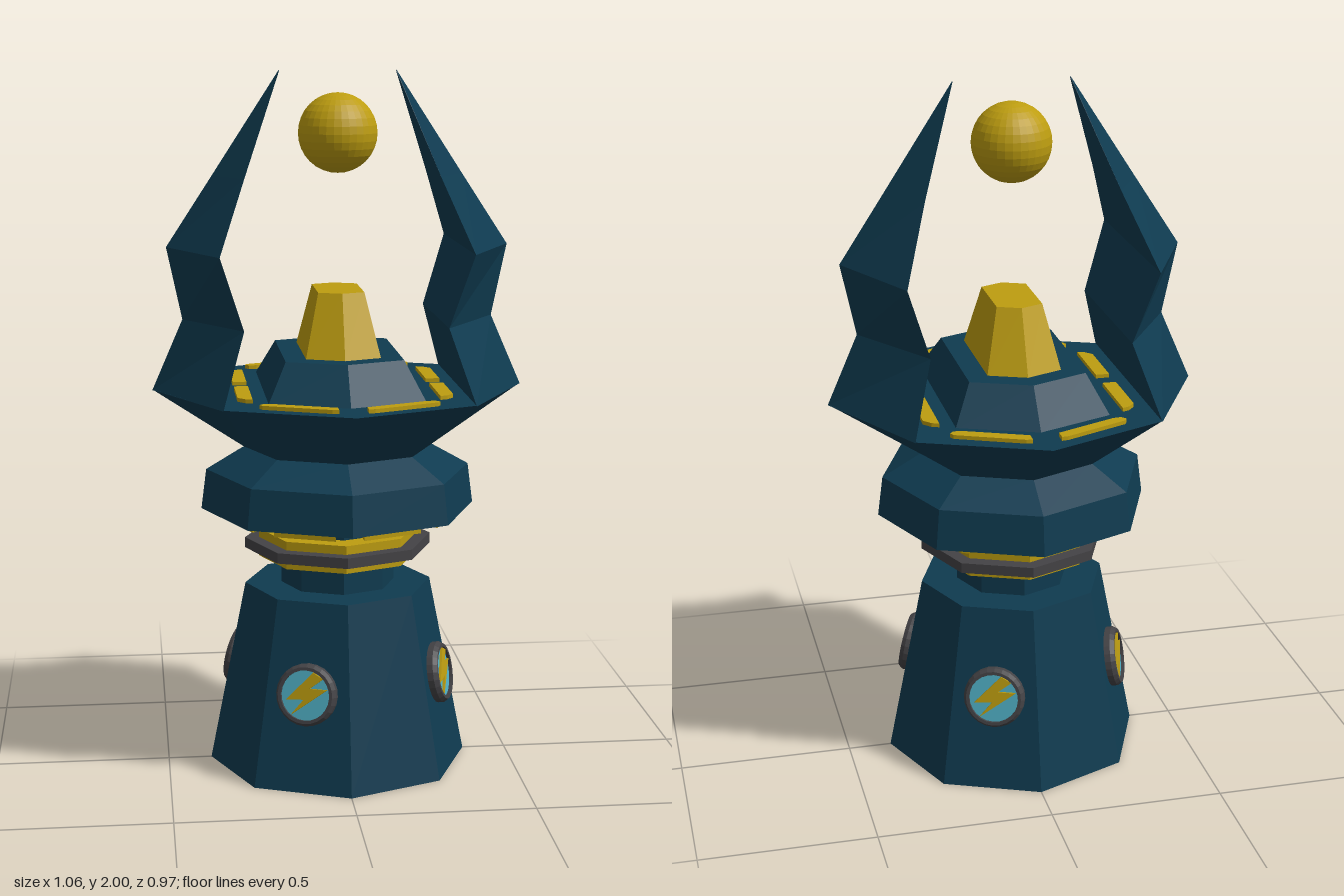
import * as THREE from 'three';

const mat = (name, color) => Object.assign(new THREE.MeshStandardMaterial({ color }), { name });

// Faceted normals for any geometry
function facet(geo) {
  const g = geo.index ? geo.toNonIndexed() : geo;
  g.computeVertexNormals();
  return g;
}

// Capped solid through rings of [x, y, z], each ring running from +z towards +x
function loft(rings) {
  const v = [];
  const n = rings[0].length;
  for (let r = 0; r < rings.length - 1; r++) {
    for (let i = 0; i < n; i++) {
      const j = (i + 1) % n;
      const [a, b, c, d] = [rings[r][i], rings[r][j], rings[r + 1][j], rings[r + 1][i]];
      v.push(...a, ...b, ...c, ...a, ...c, ...d);
    }
  }
  const lo = rings[0], hi = rings[rings.length - 1];
  for (let i = 1; i < n - 1; i++) {
    v.push(...hi[0], ...hi[i], ...hi[i + 1], ...lo[0], ...lo[i + 1], ...lo[i]);
  }
  const g = new THREE.BufferGeometry();
  g.setAttribute('position', new THREE.Float32BufferAttribute(v, 3));
  return facet(g);
}

// Octagon with a corner to the front; rx stretches the two side corners
function octagon(y, r, rx = r) {
  return Array.from({ length: 8 }, (_, i) => {
    const a = (i * Math.PI) / 4;
    return [Math.sin(a) * (i % 4 === 2 ? rx : r), y, Math.cos(a) * r];
  });
}

// Long hexagon pointed to the front and back
function hexagon(y, x, z, tip) {
  return [[0, tip], [x, z], [x, -z], [0, -tip], [-x, -z], [-x, z]].map(([px, pz]) => [px, y, pz]);
}

// Flat slab from an [x, z] outline
function slab(points, y, h) {
  const shape = new THREE.Shape(points.map(([x, z]) => new THREE.Vector2(x, -z)));
  const g = new THREE.ExtrudeGeometry(shape, { depth: h, bevelEnabled: false });
  return g.rotateX(-Math.PI / 2).translate(0, y, 0);
}

export function createModel() {
  const teal = mat('dark teal', 0x0f3b50);
  const gold = mat('gold', 0xbd9d10);
  const grey = mat('dark grey', 0x444346);
  const cyan = mat('cyan', 0x50b0c6);

  const model = new THREE.Group();
  model.name = 'crystalTower';
  const add = (name, geo, material, parent = model) => {
    const m = new THREE.Mesh(geo, material);
    m.name = name;
    parent.add(m);
    return m;
  };

  // Stacked body
  add('base', loft([octagon(0, 0.375), octagon(0.53, 0.27)]), teal);
  add('neck', loft([octagon(0.52, 0.165), octagon(0.76, 0.165)]), teal);
  add('collar', loft([octagon(0.755, 0.395), octagon(0.87, 0.38), octagon(0.935, 0.265)]), teal);
  add('bowl', loft([octagon(0.93, 0.265), octagon(1.105, 0.485, 0.53)]), teal);
  add('pedestal', loft([hexagon(1.1, 0.22, 0.265, 0.352), hexagon(1.21, 0.165, 0.195, 0.262)]), teal);
  add('crystal', loft([hexagon(1.21, 0.105, 0.155, 0.198), hexagon(1.388, 0.065, 0.096, 0.124)]), gold);

  // Neck rings
  add('lowerNeckRing', loft([octagon(0.61, 0.23), octagon(0.638, 0.23)]), gold);
  add('middleNeckRing', loft([octagon(0.635, 0.27), octagon(0.665, 0.27)]), grey);
  add('upperNeckRing', loft([octagon(0.662, 0.23), octagon(0.69, 0.23)]), gold);

  // Plates below the collar, one to each side
  for (let i = 0; i < 8; i++) {
    const plate = slab([[-0.045, 0.2], [0.045, 0.2], [0.09, 0.32], [-0.09, 0.32]], 0.73, 0.026);
    add('collarPlate', plate, gold).rotation.y = ((i + 0.5) * Math.PI) / 4;
  }

  // Inlaid bars on the rim, mirrored into four quarters
  const longBar = [[0.04, 0.42], [0.04, 0.387], [0.212, 0.314], [0.235, 0.312], [0.247, 0.325], [0.24, 0.339], [0.058, 0.418]];
  const sideBar = [[0.26, 0.035], [0.3, 0.035], [0.3, 0.215], [0.28, 0.238], [0.26, 0.246]];
  for (const sx of [-1, 1]) {
    for (const sz of [-1, 1]) {
      const flip = (pts) => pts.map(([x, z]) => [x * sx, z * sz]);
      add('rimBar', slab(flip(longBar), 1.1, 0.016), gold);
      add('rimSideBar', slab(flip(sideBar), 1.1, 0.016), gold);
    }
  }

  // Claws: triangular sections given as y, inner x, outer x, half width
  const sections = [
    [1.103, 0.345, 0.53, 0.343],
    [1.305, 0.282, 0.442, 0.25],
    [1.51, 0.348, 0.485, 0.282],
    [1.71, 0.272, 0.354, 0.147],
    [2.0, 0.163, 0.165, 0.001],
  ];
  const clawGeo = loft(sections.map(([y, xi, xo, z]) => [[xi, y, z], [xo, y, 0], [xi, y, -z]]));
  add('leftClaw', clawGeo, teal);
  add('rightClaw', clawGeo, teal).rotation.y = Math.PI;

  // Floating orb
  add('orb', facet(new THREE.SphereGeometry(0.112, 32, 16)).translate(0, 1.826, 0), gold);

  // Round badges with a bolt on every other side of the base
  const rim = [[0.088, -0.02], [0.088, 0.018], [0.08, 0.03], [0.071, 0.03], [0.071, 0.015]];
  const rimGeo = facet(new THREE.LatheGeometry(rim.map(([r, y]) => new THREE.Vector2(r, y)), 24).rotateX(Math.PI / 2));
  const bolt = [[0.02, 0.066], [-0.056, -0.016], [-0.004, -0.012], [-0.04, -0.058], [0.063, 0.02], [0.012, 0.02], [0.05, 0.05]];
  const boltGeo = new THREE.ExtrudeGeometry(
    new THREE.Shape(bolt.map(([x, y]) => new THREE.Vector2(x, y))),
    { depth: 0.008, bevelEnabled: false },
  ).translate(0, 0, 0.02);
  const discGeo = new THREE.CircleGeometry(0.073, 24).translate(0, 0, 0.021);
  for (let i = 0; i < 4; i++) {
    const a = -Math.PI / 8 + (i * Math.PI) / 2;
    const badge = new THREE.Group();
    badge.name = 'badge';
    badge.position.set(Math.sin(a) * 0.296, 0.275, Math.cos(a) * 0.296);
    badge.rotation.set(-0.181, a, 0, 'YXZ');
    add('badgeRim', rimGeo, grey, badge);
    add('badgeDisc', discGeo, cyan, badge);
    add('badgeBolt', boltGeo, gold, badge);
    model.add(badge);
  }
  return model;
}
